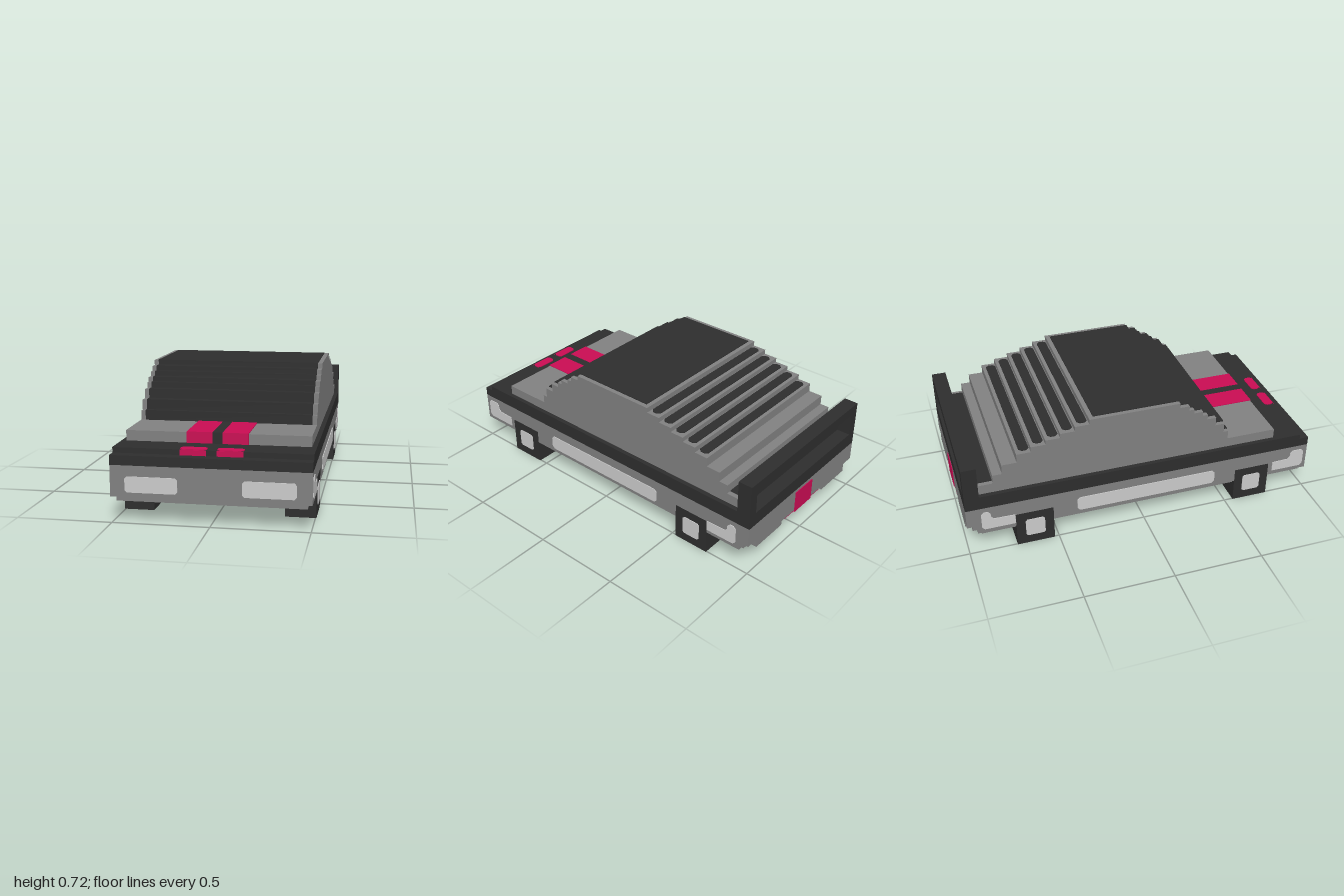
import * as THREE from 'three';

const mat = (name, color) => Object.assign(new THREE.MeshStandardMaterial({ color }), { name });

export function createModel() {
  const car = new THREE.Group();
  car.name = 'blockCar';
  const grey = mat('bodyGrey', 0x808080);
  const dark = mat('darkTrim', 0x2d2d2d);
  const light = mat('lampGrey', 0xcacaca);
  const pink = mat('accentPink', 0xc90c53);

  const add = (name, geo, material) => {
    const mesh = new THREE.Mesh(geo, material);
    mesh.name = name;
    car.add(mesh);
    return mesh;
  };
  // Box given by its extents on each axis
  const box = (name, material, [x0, x1], [y0, y1], [z0, z1]) => {
    const geo = new THREE.BoxGeometry(x1 - x0, y1 - y0, z1 - z0);
    geo.translate((x0 + x1) / 2, (y0 + y1) / 2, (z0 + z1) / 2);
    return add(name, geo, material);
  };
  const polygon = (pts) => new THREE.Shape(pts.map(([x, y]) => new THREE.Vector2(x, y)));
  // Side profile of [z, y] points, extruded across the width
  const acrossWidth = (pts, halfWidth) => {
    const geo = new THREE.ExtrudeGeometry(polygon(pts), { depth: halfWidth * 2, bevelEnabled: false });
    return geo.translate(0, 0, -halfWidth).rotateY(-Math.PI / 2);
  };
  // Thin plate with clipped corners, facing +z
  const plate = (x0, x1, y0, y1, c) => new THREE.ExtrudeGeometry(polygon([
    [x0 + c, y0], [x1 - c, y0], [x1, y0 + c], [x1, y1 - c],
    [x1 - c, y1], [x0 + c, y1], [x0, y1 - c], [x0, y0 + c],
  ]), { depth: 0.004, bevelEnabled: false });

  // Lower body with wheel wells running across it
  box('bodySides', grey, [-0.505, 0.505], [0.21, 0.297], [-1, 1]);
  for (const [z0, z1] of [[-0.945, -0.735], [-0.525, 0.55], [0.76, 1]]) {
    box('lowerBody', grey, [-0.505, 0.505], [0.135, 0.21], [z0, z1]);
    box('underbody', grey, [-0.48, 0.48], [0.108, 0.135], [Math.max(z0, -0.92), Math.min(z1, 0.975)]);
  }

  // Rear bumper with stepped corners and a central recess
  box('rearBumperTop', grey, [-0.505, 0.505], [0.185, 0.21], [-1, -0.945]);
  box('rearBumperStep', grey, [-0.505, 0.505], [0.16, 0.185], [-0.972, -0.945]);
  box('rearBumperCentre', grey, [-0.43, 0.43], [0.16, 0.185], [-1, -0.972]);
  for (const s of [-1, 1]) {
    const xs = s < 0 ? [-0.43, -0.2] : [0.2, 0.43];
    box('rearBumperLower', grey, xs, [0.135, 0.16], [-1, -0.945]);
  }
  box('recessStrip', pink, [-0.17, 0.17], [0.156, 0.16], [-1, -0.945]);
  box('rearPlate', pink, [-0.08, 0.08], [0.15, 0.28], [-1.004, -0.998]);

  // Dark belt around the body, lower at the nose
  box('belt', dark, [-0.505, 0.505], [0.297, 0.375], [-1, 0.945]);
  box('noseStep', dark, [-0.505, 0.505], [0.297, 0.347], [0.945, 1]);

  // Stepped cabin: [z of the riser, height behind or ahead of it]
  const front = [[0.785, 0.43], [0.497, 0.48], [0.47, 0.535], [0.418, 0.585], [0.367, 0.615],
    [0.338, 0.64], [0.285, 0.665], [0.257, 0.692], [0.203, 0.72]];
  const rear = [[-0.305, 0.72], [-0.385, 0.692], [-0.465, 0.665], [-0.545, 0.64], [-0.625, 0.615],
    [-0.703, 0.585], [-0.785, 0.535], [-0.837, 0.48], [-0.92, 0.43]];
  const profile = [[0.785, 0.375]];
  front.forEach(([z, y], i) => {
    profile.push([z, y]);
    if (front[i + 1]) profile.push([front[i + 1][0], y]);
  });
  rear.forEach(([z, y], i) => {
    profile.push([z, y]);
    if (rear[i + 1]) profile.push([z, rear[i + 1][1]]);
  });
  profile.push([-0.92, 0.375]);
  add('cabin', acrossWidth(profile, 0.48), grey);

  // Windscreen and roof panel laid over the front steps
  const o = 0.004;
  const glass = [[0.497 + o, 0.43]];
  front.slice(1).forEach(([z, y], i, list) => {
    glass.push([z + o, y + o]);
    if (list[i + 1]) glass.push([list[i + 1][0] + o, y + o]);
  });
  glass.push([-0.28, 0.72 + o], [-0.28, 0.43]);
  add('windscreenAndRoof', acrossWidth(glass, 0.455), dark);

  // Louvres on the rear steps
  rear.slice(1, 6).forEach(([z, y]) => {
    const slat = plate(-0.455, 0.455, -0.0275, 0.0275, 0.015).rotateX(-Math.PI / 2);
    add('rearLouvre', slat, dark).position.set(0, y, z + 0.0475);
  });
  box('rearDeck', dark, [-0.455, 0.455], [0.377, 0.434], [-0.924, -0.838]);

  // Bonnet stripes, wrapped over the front edge
  const stripe = (name, material, xs) => {
    box(name, material, xs, [0.43, 0.434], [0.497, 0.789]);
    box(name, material, xs, [0.375, 0.43], [0.785, 0.789]);
  };
  stripe('centreStripe', dark, [-0.026, 0.026]);
  for (const s of [-1, 1]) {
    const xs = s < 0 ? [-0.16, -0.026] : [0.026, 0.16];
    stripe('bonnetStripe', pink, xs);
    add('noseMark', plate(...xs, -0.945, -0.89, 0.014).rotateX(-Math.PI / 2), pink).position.y = 0.375;
    box('noseMarkFront', pink, xs, [0.347, 0.375], [0.945, 0.949]);
  }

  // Rear wing
  box('wingBar', dark, [-0.505, 0.505], [0.51, 0.56], [-1, -0.92]);
  for (const s of [-1, 1]) {
    box('wingPost', dark, s < 0 ? [-0.505, -0.455] : [0.455, 0.505], [0.375, 0.51], [-1, -0.92]);
  }

  // Headlamps
  for (const s of [-1, 1]) {
    add('headlamp', plate(-0.134, 0.134, 0.16, 0.242, 0.012), light).position.set(s * 0.295, 0, 1);
  }

  // Side panels and corner lamps as [z, y] outlines on both flanks
  const cornerLamp = (z0, z1, z2) => {
    const d = Math.sign(z1 - z0) * 0.015;
    return [[z0 + d, 0.157], [z2, 0.157], [z2, 0.215], [z1 + d, 0.218], [z1, 0.235],
      [z1, 0.255], [z1 - d, 0.27], [z0 + d, 0.27], [z0, 0.255], [z0, 0.172]];
  };
  const outlines = {
    sidePanel: [[-0.375, 0.157], [0.405, 0.157], [0.42, 0.172], [0.42, 0.227],
      [0.405, 0.242], [-0.375, 0.242], [-0.39, 0.227], [-0.39, 0.172]],
    frontCornerLamp: cornerLamp(0.978, 0.895, 0.785),
    rearCornerLamp: cornerLamp(-0.92, -0.868, -0.737),
  };
  for (const [name, pts] of Object.entries(outlines)) {
    for (const s of [-1, 1]) add(name, acrossWidth(pts, 0.002), light).position.x = s * 0.507;
  }

  // Square wheels with hubs on both faces, and dark well ceilings
  for (const z of [0.655, -0.63]) {
    box('wheelWell', dark, [-0.345, 0.345], [0.206, 0.212], [z - 0.105, z + 0.105]);
    for (const s of [-1, 1]) {
      const span = (a, b) => (s < 0 ? [-b, -a] : [a, b]);
      box('wheel', dark, span(0.345, 0.505), [0, 0.21], [z - 0.105, z + 0.105]);
      for (const [x, side] of [[0.505, s], [0.345, -s]]) {
        const hub = add('hub', plate(-0.054, 0.054, -0.054, 0.054, 0.01), light);
        hub.position.set(s * x, 0.107, z);
        hub.rotation.y = side * Math.PI / 2;
      }
    }
  }
  return car;
}
